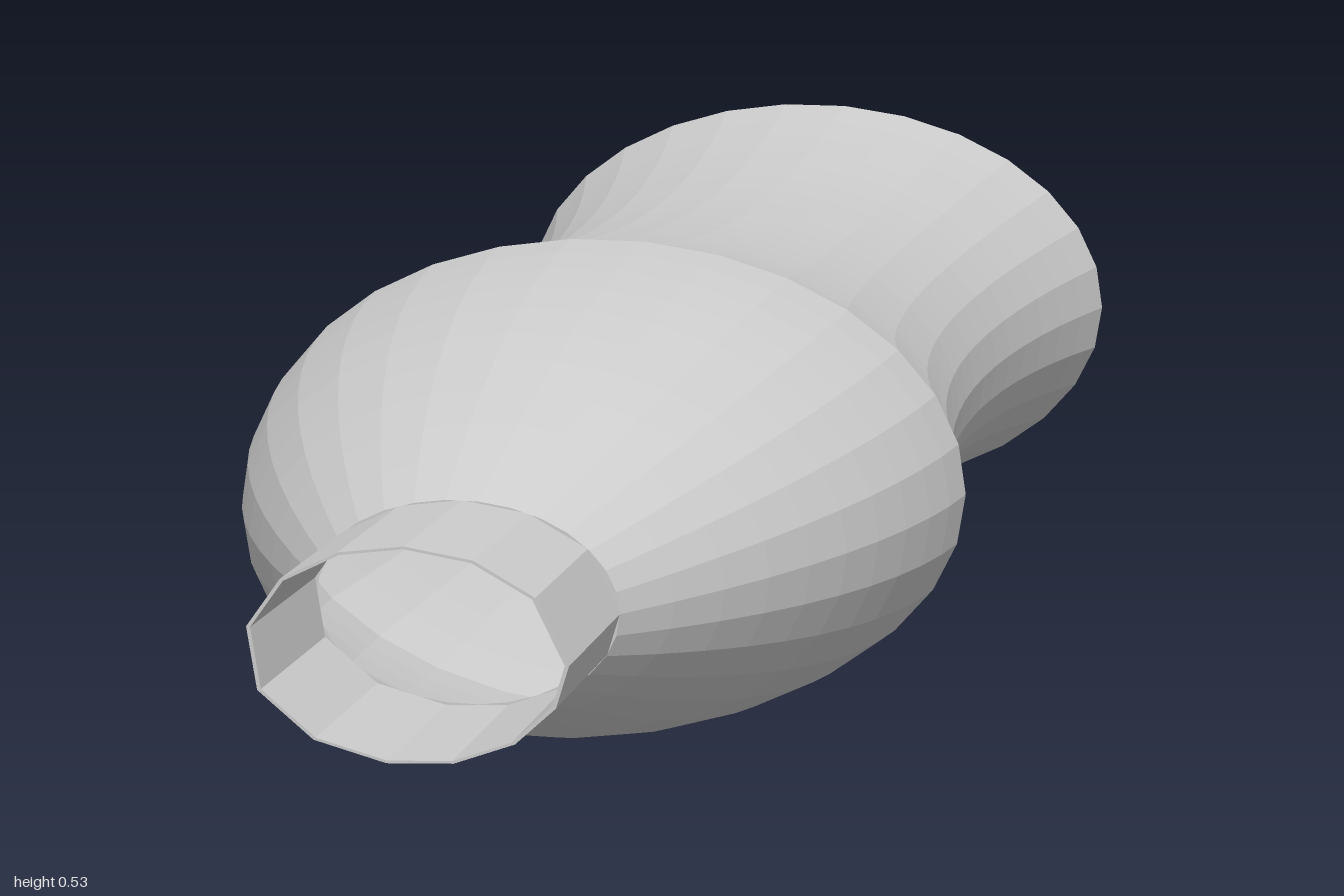
import * as THREE from 'three';

const RX = 0.4, RY = 0.267; // oval half-width and half-height

// Loft an oval tube along z from [z, half-width] stations and a list of angles
function loft(stations, angles) {
  const pos = [], index = [], n = angles.length;
  for (const [z, r] of stations)
    for (const a of angles) pos.push(r * Math.cos(a), RY + r * (RY / RX) * Math.sin(a), z);
  for (let i = 0; i < stations.length - 1; i++)
    for (let j = 0; j < n; j++) {
      const k = (j + 1) % n;
      const a = i * n + j, b = i * n + k, c = b + n, d = a + n;
      index.push(a, b, c, a, c, d);
    }
  const g = new THREE.BufferGeometry();
  g.setAttribute('position', new THREE.Float32BufferAttribute(pos, 3));
  g.setIndex(index);
  g.computeVertexNormals();
  return g;
}

export function createModel() {
  const group = new THREE.Group();
  group.name = 'bottle';
  const mat = new THREE.MeshStandardMaterial({ color: 0xcccccc, flatShading: true, side: THREE.DoubleSide });
  const add = (name, geometry) => {
    const mesh = new THREE.Mesh(geometry, mat);
    mesh.name = name;
    group.add(mesh);
  };

  const bodyAngles = Array.from({ length: 30 }, (_, i) => (i / 30) * Math.PI * 2);
  const waist = [], shoulder = [];
  for (let i = 0; i <= 16; i++) {
    const z = -1 + 1.2 * i / 16;
    waist.push([z, 0.317 + 0.083 * ((z + 0.4) / 0.6) ** 2]);
  }
  for (let i = 0; i <= 10; i++) {
    const t = i / 10;
    shoulder.push([0.2 + 0.6 * t, 0.4 - 0.06 * t - 0.183 * t * t]);
  }
  shoulder.push([0.8, 0.149]); // small ledge that meets the neck

  add('base', loft([[-1, 0], [-1, RX]], bodyAngles));
  add('waist', loft(waist, bodyAngles));
  add('shoulder', loft(shoulder, bodyAngles));

  // Coarser open neck: outer wall, thin lip, inner wall
  const neckAngles = [0, 37, 65, 90, 114, 140, 169, 203, 235, 263, 287, 312, 337].map(THREE.MathUtils.degToRad);
  add('neck', loft([[0.8, 0.157], [1, 0.157], [1, 0.153], [0.8, 0.153]], neckAngles));
  return group;
}
